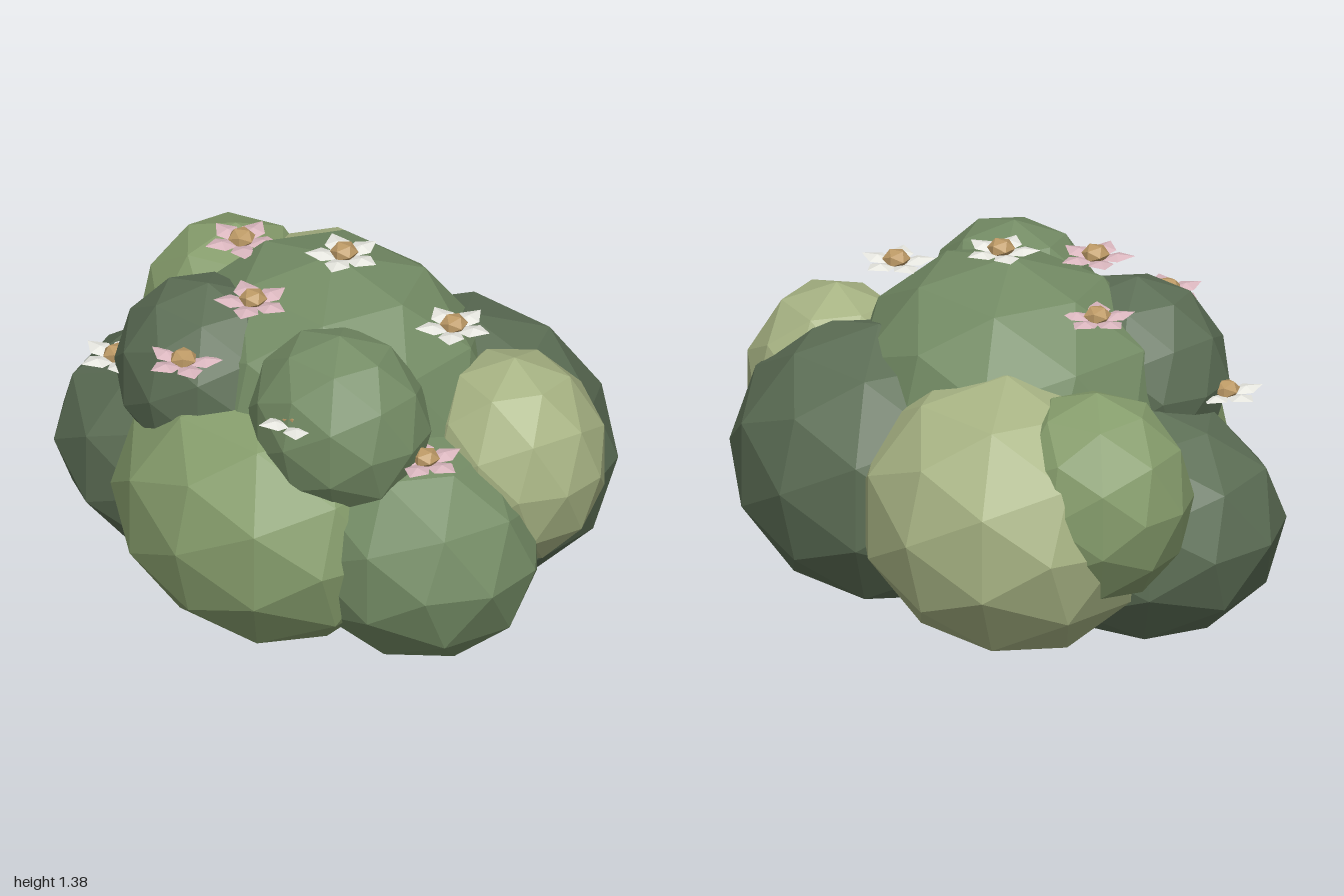
import * as THREE from 'three';

const mat = (color, extra = {}) =>
  new THREE.MeshStandardMaterial({ color, flatShading: true, ...extra });

// One pointed petal lying along +x, broad at its foot, with a raised middle and lifted tip
function petalGeometry() {
  const p = [[0.025, 0, -0.024], [0.025, 0, 0.024], [0.08, 0.006, 0.046], [0.138, 0.012, 0],
    [0.08, 0.006, -0.046], [0.075, 0.018, 0], [0.075, -0.008, 0]];
  const index = [];
  for (let i = 0; i < 5; i++) {
    const j = (i + 1) % 5;
    index.push(i, j, 5, j, i, 6);
  }
  const g = new THREE.BufferGeometry();
  g.setAttribute('position', new THREE.Float32BufferAttribute(p.flat(), 3));
  g.setIndex(index);
  g.computeVertexNormals();
  return g;
}

export function createModel() {
  const model = new THREE.Group();
  model.name = 'floweringBush';

  const leaf = {
    dark: mat(0x5d6f56), mid: mat(0x748c65), bright: mat(0x869d6c), pale: mat(0xa8b484),
  };

  // Trunk
  const trunk = new THREE.Mesh(new THREE.CylinderGeometry(0.13, 0.178, 0.6, 8), mat(0x75615a));
  trunk.name = 'trunk';
  trunk.position.y = 0.3;
  trunk.rotation.y = Math.PI / 8;
  model.add(trunk);

  // Foliage clumps: name, shade, centre, radii, turn about y
  const clumps = [
    ['crown', 'mid', [0, 0.82, -0.01], [0.61, 0.51, 0.53], 0],
    ['frontClump', 'bright', [0.01, 0.487, 0.375], [0.58, 0.477, 0.45], 0],
    ['lowerRightClump', 'dark', [-0.48, 0.46, 0.13], [0.54, 0.43, 0.47], 0.28],
    ['lowerLeftClump', 'mid', [0.48, 0.46, 0.12], [0.53, 0.43, 0.43], -0.28],
    ['backRightClump', 'pale', [-0.32, 0.57, -0.34], [0.57, 0.505, 0.49], 0],
    ['backLeftClump', 'dark', [0.32, 0.57, -0.34], [0.57, 0.505, 0.48], 0],
    ['upperRightClump', 'bright', [-0.665, 0.7, -0.24], [0.345, 0.385, 0.32], 0.28],
    ['upperLeftClump', 'pale', [0.665, 0.7, -0.21], [0.345, 0.39, 0.32], -0.28],
    ['frontUpperRightClump', 'dark', [-0.29, 0.895, 0.32], [0.345, 0.35, 0.305], 0],
    ['frontUpperLeftClump', 'mid', [0.32, 0.935, 0.315], [0.34, 0.34, 0.295], 0],
  ];
  const clumpGeometry = new THREE.IcosahedronGeometry(1, 1);
  for (const [name, shade, centre, radii, turn] of clumps) {
    const clump = new THREE.Mesh(clumpGeometry, leaf[shade]);
    clump.name = name;
    clump.position.set(...centre);
    clump.scale.set(...radii);
    clump.rotation.y = turn;
    model.add(clump);
  }

  // Flowers: colour, centre, turn about y
  const petalGeo = petalGeometry();
  const heartGeo = new THREE.IcosahedronGeometry(0.05, 0);
  const white = mat(0xe9e9e2, { side: THREE.DoubleSide });
  const pink = mat(0xdcb8c0, { side: THREE.DoubleSide });
  const gold = mat(0xbd9a66);
  const flowers = [
    [white, [0.04, 1.335, -0.02], 0.1],
    [pink, [-0.42, 1.215, 0], 0.5],
    [pink, [-0.08, 1.25, 0.32], 0.1],
    [pink, [-0.18, 1.08, 0.57], 0.7],
    [white, [0.48, 1.185, -0.1], 0.3],
    [white, [-0.61, 0.865, 0.44], 0.6],
    [pink, [0.655, 0.865, 0.24], 0],
    [white, [0.32, 1.025, 0.54], 0.4],
  ];
  for (const [petalMaterial, centre, turn] of flowers) {
    const flower = new THREE.Group();
    flower.name = 'flower';
    flower.position.set(...centre);
    flower.rotation.y = turn;
    for (let i = 0; i < 5; i++) {
      const petal = new THREE.Mesh(petalGeo, petalMaterial);
      petal.name = 'petal';
      petal.rotation.y = (i * Math.PI * 2) / 5;
      flower.add(petal);
    }
    const heart = new THREE.Mesh(heartGeo, gold);
    heart.name = 'flowerHeart';
    heart.position.y = 0.018;
    heart.scale.y = 0.7;
    flower.add(heart);
    model.add(flower);
  }
  return model;
}
